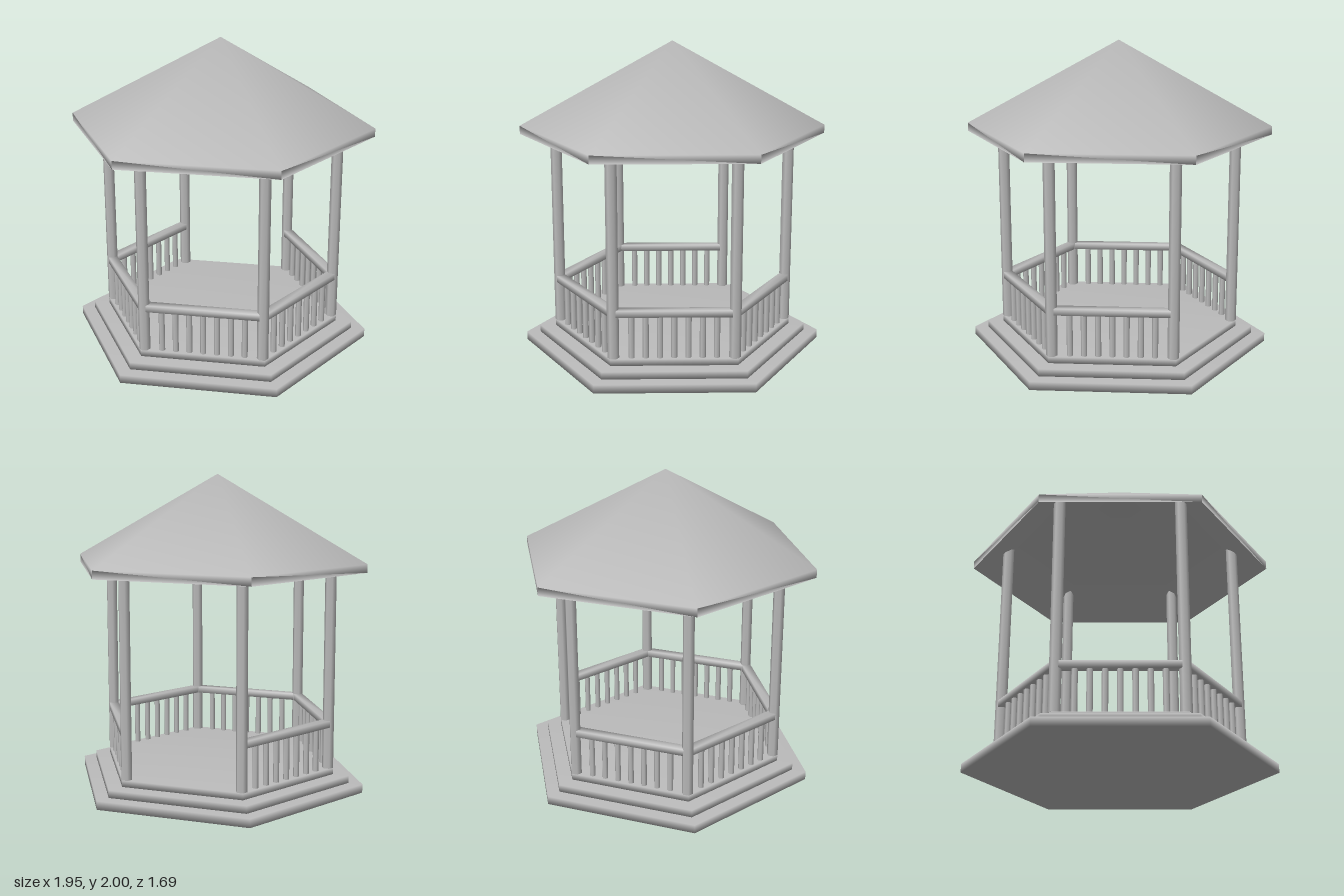
import * as THREE from 'three';
import { mergeVertices } from 'three/addons/utils/BufferGeometryUtils.js';

const SIDES = 6;
const POST_RING = 0.745;
const POST_BASE = 0.145;
const RAIL_Y = 0.437;
const OPEN_SIDE = 5; // entrance, the bay without a railing

export function createModel() {
  const gazebo = new THREE.Group();
  gazebo.name = 'gazebo';
  const grey = new THREE.MeshStandardMaterial({ color: 0xbbbbbb });
  grey.name = 'plain grey';

  const add = (parent, name, geometry, x = 0, y = 0, z = 0) => {
    const mesh = new THREE.Mesh(geometry, grey);
    mesh.name = name;
    mesh.position.set(x, y, z);
    parent.add(mesh);
    return mesh;
  };

  // Weld corners so the shading rolls softly over every edge
  const soften = (geometry) => {
    geometry.deleteAttribute('normal');
    geometry.deleteAttribute('uv');
    const welded = mergeVertices(geometry);
    welded.computeVertexNormals();
    return welded;
  };

  // Six-sided cylinder with corners on the x axis, standing between two heights
  const hexPrism = (radius, bottom, top) =>
    new THREE.CylinderGeometry(radius, radius, top - bottom, SIDES, 1, false, Math.PI / 2)
      .translate(0, (bottom + top) / 2, 0);

  // Corner of the post ring
  const corner = (i) => {
    const a = (i * Math.PI * 2) / SIDES;
    return new THREE.Vector3(Math.cos(a) * POST_RING, 0, Math.sin(a) * POST_RING);
  };

  // Stepped base
  [[0.973, 0, 0.055], [0.883, 0.055, 0.103], [0.78, 0.103, POST_BASE]].forEach(
    ([radius, bottom, top], i) => add(gazebo, `baseStep${i + 1}`, soften(hexPrism(radius, bottom, top))));

  // Hollow roof shell: underside, fascia, then outer slope
  const roofProfile = [[0, 1.945], [0.973, 1.407], [0.973, 1.46], [0, 2]]
    .map(([r, y]) => new THREE.Vector2(r, y));
  add(gazebo, 'roof', soften(new THREE.LatheGeometry(roofProfile, SIDES, Math.PI / 2)));

  // Posts reach up into the underside of the roof
  const postGeometry = hexPrism(0.036, POST_BASE, 1.55);
  for (let i = 0; i < SIDES; i++) {
    const p = corner(i);
    add(gazebo, `post${i + 1}`, postGeometry, p.x, 0, p.z);
  }

  // Railings: a broad handrail over seven balusters in every closed bay
  const railGeometry = soften(new THREE.BoxGeometry(POST_RING, 0.043, 0.06));
  const balusterGeometry = hexPrism(0.019, POST_BASE, RAIL_Y);
  for (let i = 0; i < SIDES; i++) {
    if (i === OPEN_SIDE) continue;
    const a = corner(i), b = corner(i + 1);
    const railing = new THREE.Group();
    railing.name = `railing${i + 1}`;
    railing.position.copy(a).add(b).multiplyScalar(0.5);
    railing.rotation.y = -Math.atan2(b.z - a.z, b.x - a.x);
    add(railing, 'handrail', railGeometry, 0, RAIL_Y, 0);
    for (let k = -3; k <= 3; k++) add(railing, 'baluster', balusterGeometry, k * 0.087, 0, 0);
    gazebo.add(railing);
  }

  return gazebo;
}
